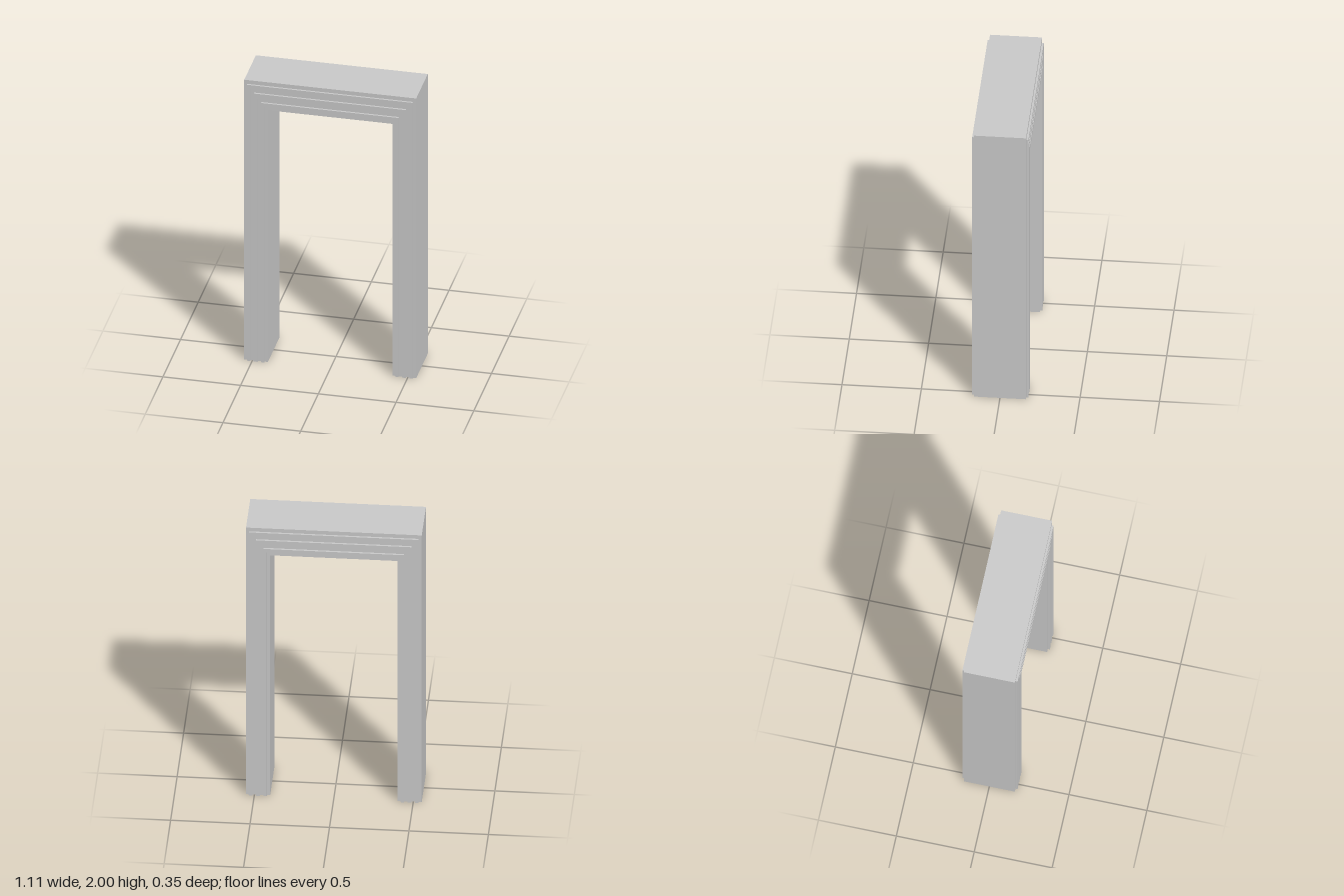
import * as THREE from 'three';

const HALF_WIDTH = 0.553, HEIGHT = 2;
const JAMB = 0.152, LINTEL = 0.2;      // casing width on the sides and on top
const RECESS = 0.164, RIDGE = 0.177;   // half depths of the stepped moulding

// Closed section as [fraction from outer to inner edge, z]: three square ridges on each face
function casingSection() {
  const steps = [0, 0.135, 0.27, 0.42, 0.58, 0.73, 0.865, 1];
  const front = [];
  for (let i = 0; i < steps.length - 1; i++) {
    const z = i % 2 ? RIDGE : RECESS;
    front.push([steps[i], z], [steps[i + 1], z]);
  }
  const back = front.map(([f, z]) => [f, -z]).reverse();
  return [...front, ...back];
}

// Sweep the section up one jamb, across the lintel and down the other, with mitred corners
function sweepFrame(section) {
  const stations = [[-1, 0], [-1, 1], [1, 1], [1, 0]];   // [side, is at the top]
  const point = ([f, z], [side, top]) =>
    [side * (HALF_WIDTH - JAMB * f), top * (HEIGHT - LINTEL * f), z];
  const positions = [];
  for (let s = 0; s < stations.length - 1; s++) {
    section.forEach((p, i) => {
      const q = section[(i + 1) % section.length];
      const a = point(p, stations[s]), b = point(q, stations[s]);
      const c = point(q, stations[s + 1]), d = point(p, stations[s + 1]);
      positions.push(...a, ...b, ...c, ...a, ...c, ...d);
    });
  }
  const geometry = new THREE.BufferGeometry();
  geometry.setAttribute('position', new THREE.Float32BufferAttribute(positions, 3));
  geometry.computeVertexNormals();
  return geometry;
}

export function createModel() {
  const group = new THREE.Group();
  group.name = 'doorway';
  // The feet of the hollow jambs are open, so the inside shows from below
  const material = new THREE.MeshStandardMaterial({
    color: 0xcccccc, flatShading: true, side: THREE.DoubleSide,
  });
  const frame = new THREE.Mesh(sweepFrame(casingSection()), material);
  frame.name = 'doorFrame';
  group.add(frame);
  return group;
}
